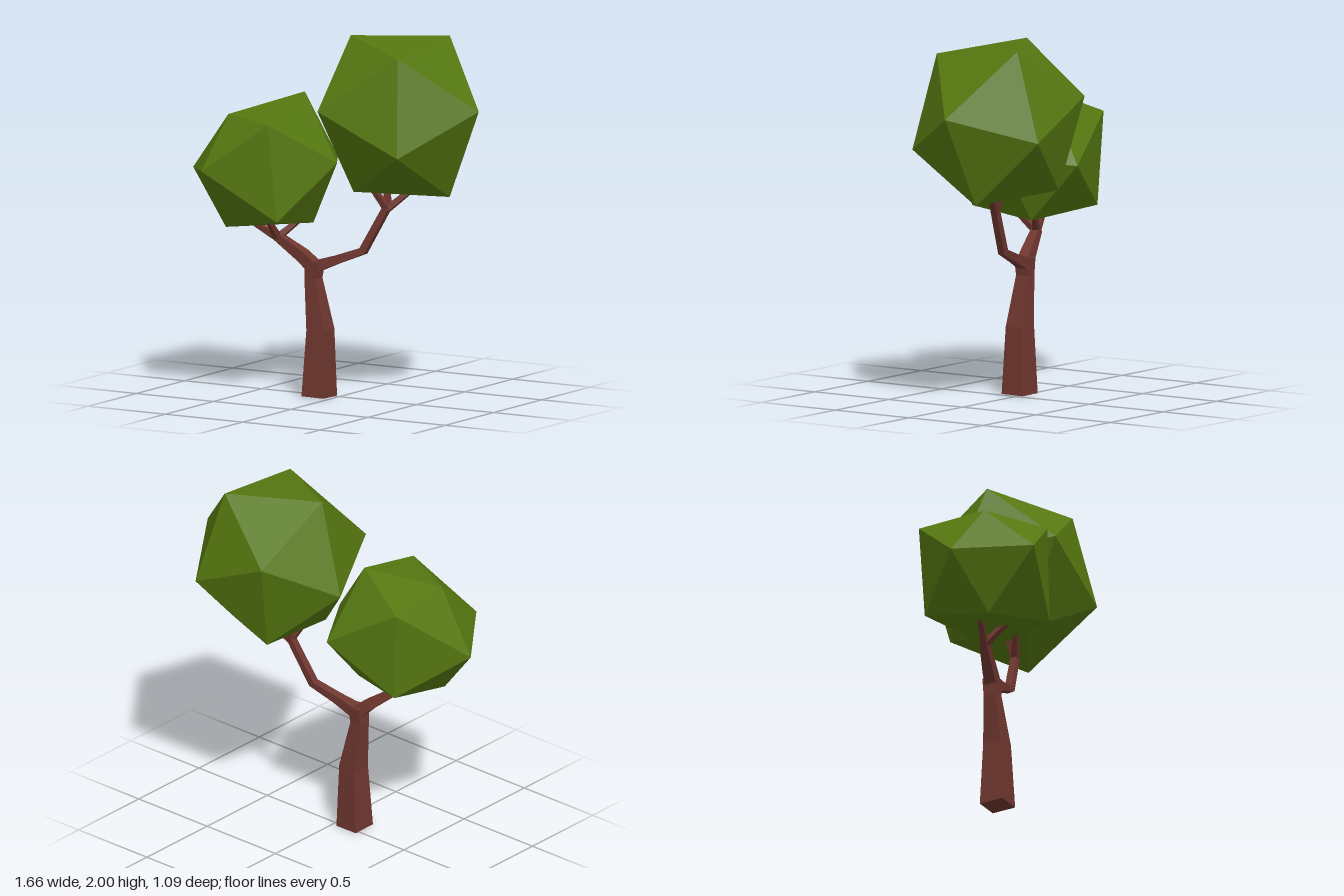
import * as THREE from 'three';
import { ConvexGeometry } from 'three/addons/geometries/ConvexGeometry.js';

const bark = new THREE.MeshStandardMaterial({ color: 0x6f372f });
bark.name = 'bark brown';
const leaf = new THREE.MeshStandardMaterial({ color: 0x557710 });
leaf.name = 'leaf green';

// Four-sided tapering limb through stations [x, y, z, half width]
function limb(name, stations) {
  const centres = stations.map(([x, y, z]) => new THREE.Vector3(x, y, z));
  const last = centres.length - 1;
  const pos = [], index = [];
  centres.forEach((c, i) => {
    const before = centres[Math.max(i - 1, 0)], after = centres[Math.min(i + 1, last)];
    const t = after.clone().sub(before).normalize();
    const v = new THREE.Vector3(0, 0, 1).addScaledVector(t, -t.z).normalize();
    const u = t.clone().cross(v);
    const r = stations[i][3];
    for (const [a, b] of [[1, -1], [1, 1], [-1, 1], [-1, -1]]) {
      pos.push(...c.clone().addScaledVector(v, a * r).addScaledVector(u, b * r).toArray());
    }
    if (i === last) return;
    for (let k = 0; k < 4; k++) {
      const a = i * 4 + k, b = i * 4 + (k + 1) % 4;
      index.push(a, b, b + 4, a, b + 4, a + 4);
    }
  });
  const e = last * 4;
  index.push(0, 2, 1, 0, 3, 2, e, e + 1, e + 2, e, e + 2, e + 3);
  let geo = new THREE.BufferGeometry();
  geo.setAttribute('position', new THREE.Float32BufferAttribute(pos, 3));
  geo.setIndex(index);
  geo = geo.toNonIndexed();
  geo.computeVertexNormals();
  const mesh = new THREE.Mesh(geo, bark);
  mesh.name = name;
  return mesh;
}

// Faceted leaf ball: an uneven icosahedron around twelve corners
function crown(name, corners) {
  const mesh = new THREE.Mesh(new ConvexGeometry(corners.map((p) => new THREE.Vector3(...p))), leaf);
  mesh.name = name;
  return mesh;
}

export function createModel() {
  const tree = new THREE.Group();
  tree.name = 'tree';

  tree.add(
    limb('trunk', [
      [-0.1, 0, 0.045, 0.071], [-0.096, 0.37, 0.04, 0.056],
      [-0.142, 0.65, 0.038, 0.036], [-0.135, 0.75, 0.035, 0.042],
    ]),
    // Main branches
    limb('leftBranch', [
      [-0.15, 0.71, 0.035, 0.035], [0.0, 0.765, 0.01, 0.024],
      [0.145, 0.82, -0.02, 0.021], [0.275, 1.07, -0.06, 0.019],
    ]),
    limb('rightBranch', [
      [-0.12, 0.7, 0.035, 0.035], [-0.2, 0.775, 0.055, 0.032], [-0.34, 0.88, 0.1, 0.022],
    ]),
  );

  // Twigs reaching into the crowns
  const twigs = (name, base, tips) => tips.forEach((tip) =>
    tree.add(limb(name, [[...base, 0.018], [...tip, 0.012]])));
  twigs('leftTwig', [0.275, 1.06, -0.06], [[0.18, 1.22, 0.0], [0.25, 1.22, -0.1], [0.43, 1.2, -0.14]]);
  twigs('rightTwig', [-0.335, 0.87, 0.1], [[-0.49, 0.97, 0.16], [-0.31, 1.0, 0.25], [-0.22, 0.98, 0.03]]);

  tree.add(
    crown('largeCrown', [
      [0.49, 1.945, 0.18], [0.49, 2, -0.365], [0.02, 2, -0.09], [0.83, 1.64, -0.12],
      [0.06, 1.635, 0.32], [0.56, 1.41, 0.295], [0.545, 1.51, -0.545], [0.08, 1.72, -0.525],
      [-0.18, 1.51, -0.165], [0.15, 1.165, 0.09], [0.61, 1.14, -0.17], [0.15, 1.195, -0.4],
    ]),
    crown('smallCrown', [
      [-0.25, 1.67, -0.045], [-0.57, 1.555, 0.235], [-0.2, 1.55, 0.42], [-0.835, 1.23, 0.175],
      [-0.555, 1.28, 0.54], [0.03, 1.31, 0.07], [-0.15, 1.01, 0.405], [-0.57, 0.93, 0.26],
      [-0.59, 1.53, -0.17], [-0.185, 1.28, -0.285], [-0.16, 0.955, 0.01], [-0.56, 1.01, -0.15],
    ]),
  );
  return tree;
}
